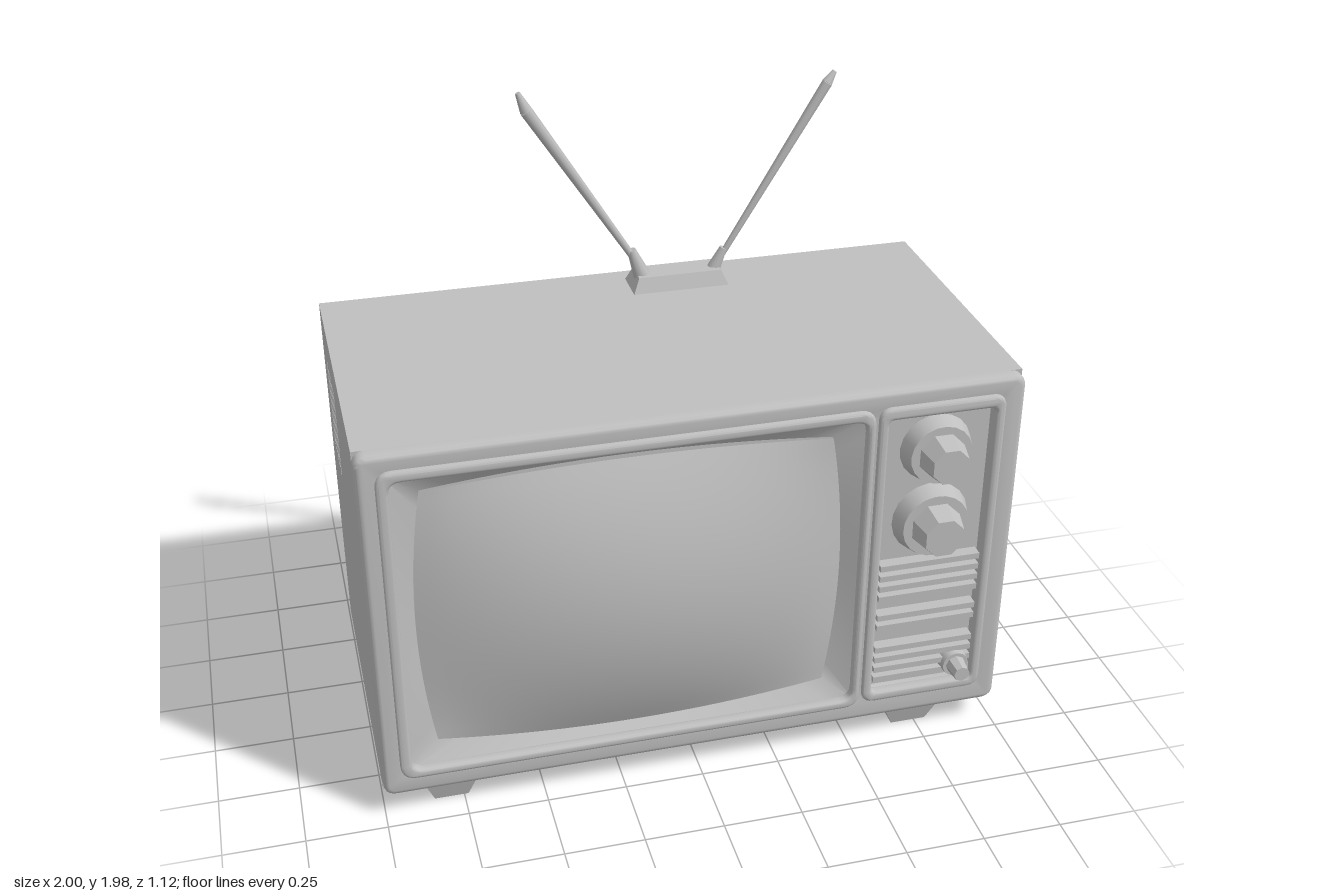
import * as THREE from 'three';
import { toCreasedNormals } from 'three/addons/utils/BufferGeometryUtils.js';

const grey = new THREE.MeshStandardMaterial({ color: 0xbfbfbf });
grey.name = 'plain grey';

export function createModel() {
  const root = new THREE.Group();
  root.name = 'television';

  const add = (name, geo, x = 0, y = 0, z = 0, parent = root) => {
    const m = new THREE.Mesh(geo, grey);
    m.name = name;
    m.position.set(x, y, z);
    parent.add(m);
    return m;
  };
  // box given by its limits
  const box = (name, x0, x1, y0, y1, z0, z1, parent = root) =>
    add(name, new THREE.BoxGeometry(x1 - x0, y1 - y0, z1 - z0), (x0 + x1) / 2, (y0 + y1) / 2, (z0 + z1) / 2, parent);
  // rounded rectangle outline
  const rect = (T, x0, x1, y0, y1, r) => {
    const s = new T();
    s.moveTo(x0 + r, y0);
    s.lineTo(x1 - r, y0); s.quadraticCurveTo(x1, y0, x1, y0 + r);
    s.lineTo(x1, y1 - r); s.quadraticCurveTo(x1, y1, x1 - r, y1);
    s.lineTo(x0 + r, y1); s.quadraticCurveTo(x0, y1, x0, y1 - r);
    s.lineTo(x0, y0 + r); s.quadraticCurveTo(x0, y0, x0 + r, y0);
    return s;
  };
  // plate with holes and bevelled edges, reaching from z0 to z1
  const plate = (name, outer, holes, z0, z1, b) => {
    const [x0, x1, y0, y1, r] = outer;
    const s = rect(THREE.Shape, x0 + b, x1 - b, y0 + b, y1 - b, r);
    holes.forEach(([a, c, d, e, q]) => s.holes.push(rect(THREE.Path, a - b, c + b, d - b, e + b, q)));
    const g = new THREE.ExtrudeGeometry(s, {
      depth: z1 - z0 - 2 * b, bevelEnabled: true, bevelSize: b, bevelThickness: b, bevelSegments: 3, curveSegments: 5,
    });
    g.translate(0, 0, z0 + b);
    return add(name, toCreasedNormals(g, 0.7));
  };
  // block whose top (or bottom) is pulled in by sx, sz
  const taperedBlock = (w, h, d, sx, sz, atTop) => {
    const g = new THREE.BoxGeometry(w, h, d).toNonIndexed();
    const p = g.attributes.position;
    for (let i = 0; i < p.count; i++) {
      if ((p.getY(i) > 0) === atTop) p.setXYZ(i, p.getX(i) * sx, p.getY(i), p.getZ(i) * sz);
    }
    g.computeVertexNormals();
    return g;
  };

  // cabinet: core, shell panels and slotted sides
  box('cabinetCore', -0.965, 0.965, 0.11, 1.27, -0.54, 0.36);
  box('cabinetTop', -1, 1, 1.265, 1.29, -0.56, 0.42);
  box('cabinetBottom', -0.99, 0.99, 0.085, 0.115, -0.55, 0.42);
  box('cabinetBack', -0.99, 0.99, 0.09, 1.28, -0.56, -0.53);
  for (const side of [-1, 1]) {
    const s = new THREE.Shape();
    s.moveTo(-0.56, 0.09); s.lineTo(0.42, 0.09); s.lineTo(0.42, 1.29); s.lineTo(-0.56, 1.29); s.closePath();
    for (let i = 0; i < 5; i++) {
      const z = -0.42 + i * 0.052;
      s.holes.push(rect(THREE.Path, z, z + 0.03, 0.86, 1.16, 0.008));
    }
    const g = new THREE.ExtrudeGeometry(s, { depth: 0.04, bevelEnabled: false });
    g.rotateY(-Math.PI / 2); // shape x becomes z, thickness runs along -x
    g.translate(side > 0 ? 1 : -0.96, 0, 0);
    add(side > 0 ? 'leftVentedSide' : 'rightVentedSide', g);
  }

  // front lip and raised bezels
  const screenHole = [-0.91, 0.5, 0.185, 1.205, 0.05];
  const panelHole = [0.565, 0.905, 0.2, 1.2, 0.03];
  plate('frontLip', [-1, 1, 0.09, 1.29, 0.02], [screenHole, panelHole], 0.37, 0.462, 0.018);
  plate('screenBezel', [-0.945, 0.525, 0.155, 1.24, 0.04], [screenHole], 0.44, 0.478, 0.01);
  plate('panelBezel', [0.535, 0.935, 0.165, 1.24, 0.03], [panelHole], 0.44, 0.478, 0.01);

  // barrel-edged bulging screen: u, v run from -1 to 1
  const cx = -0.205, cy = 0.695, edgeZ = 0.425;
  const barrel = (u, v) => [cx + 0.655 * u * (1 - 0.06 * v * v), cy + 0.475 * v * (1 - 0.07 * u * u)];
  const screen = new THREE.PlaneGeometry(2, 2, 28, 22);
  const sp = screen.attributes.position;
  for (let i = 0; i < sp.count; i++) {
    const u = sp.getX(i), v = sp.getY(i);
    const [x, y] = barrel(u, v);
    sp.setXYZ(i, x, y, edgeZ + 0.123 * (1 - u * u) * (1 - 0.9 * v * v));
  }
  screen.computeVertexNormals();
  add('screen', screen);

  // sloping surround between the bezel and the screen edge
  const pos = [], idx = [], n = 16, total = n * 4;
  for (let i = 0; i < total; i++) {
    const t = (i % n) / n * 2 - 1;
    const [u, v] = [[t, -1], [1, t], [-t, 1], [-1, -t]][Math.floor(i / n)];
    const [x, y] = barrel(u, v);
    pos.push(cx + 0.715 * u, cy + 0.52 * v, 0.455, x, y, edgeZ - 0.01);
    const a = 2 * i, b = 2 * ((i + 1) % total);
    idx.push(a, b, b + 1, a, b + 1, a + 1);
  }
  const surround = new THREE.BufferGeometry();
  surround.setAttribute('position', new THREE.Float32BufferAttribute(pos, 3));
  surround.setIndex(idx);
  add('screenSurround', toCreasedNormals(surround, 0.6));
  box('screenBacking', -0.92, 0.51, 0.18, 1.21, 0.35, 0.412);

  // control panel
  box('controlPanel', 0.55, 0.92, 0.18, 1.22, 0.35, 0.43);
  const knob = (name, x, y, r, z1, turn) => {
    const g = new THREE.Group();
    g.name = name;
    g.position.set(x, y, 0);
    g.rotation.z = turn;
    root.add(g);
    const disc = new THREE.CylinderGeometry(r * 0.85, r, 0.06, 20).rotateX(Math.PI / 2);
    add('knobSkirt', disc, 0, 0, 0.455, g);
    const grip = new THREE.CylinderGeometry(r * 0.52, r * 0.68, z1 - 0.47, 8).rotateX(Math.PI / 2);
    add('knobGrip', toCreasedNormals(grip, 0.5), 0, 0, (z1 + 0.47) / 2, g);
  };
  knob('upperKnob', 0.735, 1.065, 0.115, 0.56, -0.4);
  knob('lowerKnob', 0.735, 0.815, 0.125, 0.56, 0.4);
  knob('smallKnob', 0.845, 0.27, 0.05, 0.54, 0);

  // speaker and dial slats
  for (const [y0, count] of [[0.545, 4], [0.435, 2], [0.235, 4]]) {
    for (let i = 0; i < count; i++) {
      const y = y0 + i * 0.038;
      box('panelSlat', 0.572, 0.898, y, y + 0.02, 0.42, 0.468);
    }
  }

  // runners and underside tray
  add('rightRunner', taperedBlock(0.17, 0.085, 0.98, 0.62, 0.95, false), -0.79, 0.0475, -0.06);
  add('leftRunner', taperedBlock(0.19, 0.085, 0.98, 0.62, 0.95, false), 0.73, 0.0475, -0.06);
  add('undersideTray', taperedBlock(0.98, 0.07, 0.6, 0.94, 0.9, false), -0.26, 0.055, -0.08);

  // rabbit-ear aerial
  add('aerialBase', taperedBlock(0.32, 0.05, 0.13, 0.86, 0.7, true), 0.155, 1.313, -0.435);
  const rod = (name, a, b, r0, r1) => {
    const from = new THREE.Vector3(...a), dir = new THREE.Vector3(...b).sub(from);
    const m = add(name, new THREE.CylinderGeometry(r1, r0, dir.length(), 8));
    m.position.copy(from).addScaledVector(dir, 0.5);
    m.quaternion.setFromUnitVectors(new THREE.Vector3(0, 1, 0), dir.normalize());
  };
  rod('rightAerialSocket', [0.04, 1.32, -0.43], [0, 1.425, -0.425], 0.03, 0.014);
  rod('rightAerial', [0.005, 1.4, -0.425], [-0.325, 1.92, -0.43], 0.011, 0.02);
  rod('rightAerialTip', [-0.325, 1.92, -0.43], [-0.35, 1.98, -0.43], 0.02, 0.008);
  rod('leftAerialSocket', [0.275, 1.32, -0.43], [0.31, 1.4, -0.425], 0.025, 0.013);
  rod('leftAerial', [0.295, 1.36, -0.425], [0.645, 1.93, -0.43], 0.01, 0.018);
  rod('leftAerialTip', [0.645, 1.93, -0.43], [0.67, 1.965, -0.435], 0.018, 0.008);

  return root;
}
